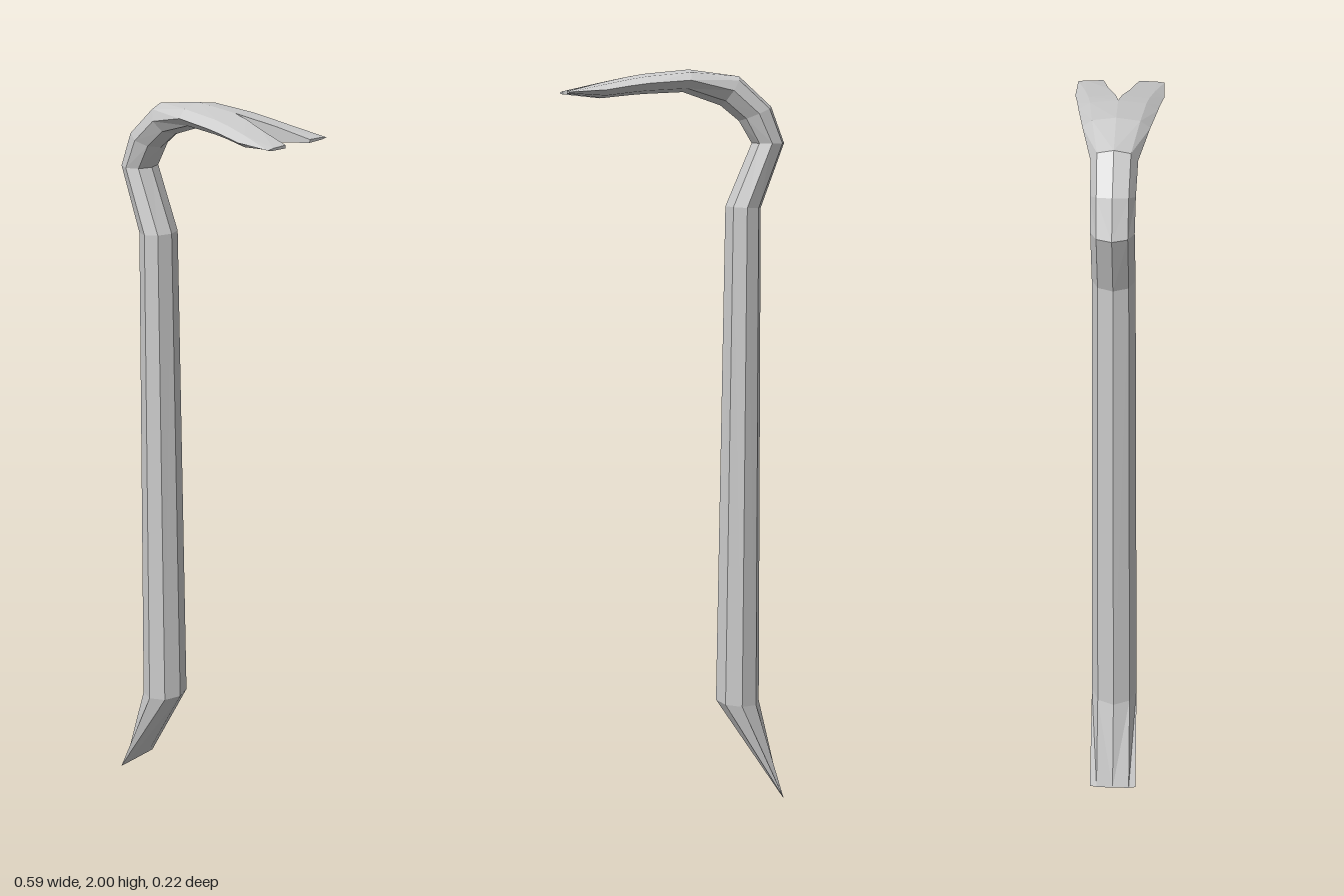
import * as THREE from 'three';

// Sections along the bar, from the chisel end to the claw tips:
// outer edge x, y | inner edge x, y | half width | half gap of the notch
const BAR = [
  [-0.295, 0.0, -0.289, 0.004, 0.066, 0],
  [-0.232, 0.272, -0.11, 0.28, 0.064, 0],
  [-0.226, 1.64, -0.13, 1.645, 0.053, 0],
  [-0.288, 1.81, -0.2, 1.81, 0.052, 0],
  [-0.252, 1.905, -0.165, 1.868, 0.053, 0],
  [-0.165, 1.983, -0.115, 1.908, 0.056, 0],
  [-0.03, 2.0, -0.015, 1.942, 0.081, 0],
];
const CLAW = [
  BAR[BAR.length - 1],
  [0.09, 1.988, 0.09, 1.937, 0.097, 0],
  [0.135, 1.98, 0.135, 1.933, 0.102, 0.008],
  [0.2, 1.966, 0.2, 1.926, 0.111, 0.027],
  [0.295, 1.944, 0.295, 1.936, 0.109, 0.045],
];

// Half octagon from the outer edge round the side to the inner edge
function halfRing([ox, oy, ix, iy, width, gap], side) {
  return Array.from({ length: 5 }, (_, k) => {
    const a = (k * Math.PI) / 4;
    const t = (1 - Math.cos(a)) / 2;
    const z = gap + (width - gap) * Math.sin(a);
    return [ox + (ix - ox) * t, oy + (iy - oy) * t, z * side];
  });
}

// Skin both mirrored halves through the sections
function loft(sections, capStart, capEnd) {
  const pos = [];
  for (const side of [1, -1]) {
    const tri = (a, b, c) => pos.push(...(side > 0 ? [a, b, c] : [a, c, b]).flat());
    const rings = sections.map((s) => halfRing(s, side));
    for (let i = 0; i < rings.length - 1; i++) {
      const p = rings[i], q = rings[i + 1];
      // the fifth strip is the wall of the notch, only where it is open
      const strips = sections[i + 1][5] > 0 ? 5 : 4;
      for (let k = 0; k < strips; k++) {
        const n = (k + 1) % 5;
        tri(p[k], p[n], q[n]);
        tri(p[k], q[n], q[k]);
      }
    }
    const first = rings[0], last = rings[rings.length - 1];
    for (let k = 1; k < 4; k++) {
      if (capStart) tri(first[0], first[k + 1], first[k]);
      if (capEnd) tri(last[0], last[k], last[k + 1]);
    }
  }
  const geo = new THREE.BufferGeometry();
  geo.setAttribute('position', new THREE.Float32BufferAttribute(pos, 3));
  geo.computeVertexNormals();
  return geo;
}

export function createModel() {
  const group = new THREE.Group();
  group.name = 'crowbar';
  const steel = new THREE.MeshStandardMaterial({ color: 0xcccccc, flatShading: true });
  const add = (name, geo) => {
    const mesh = new THREE.Mesh(geo, steel);
    mesh.name = name;
    group.add(mesh);
  };
  // Octagonal bar with chisel end and hooked neck
  add('bar', loft(BAR, true, false));
  // Forked nail claw
  add('claw', loft(CLAW, false, true));
  return group;
}
